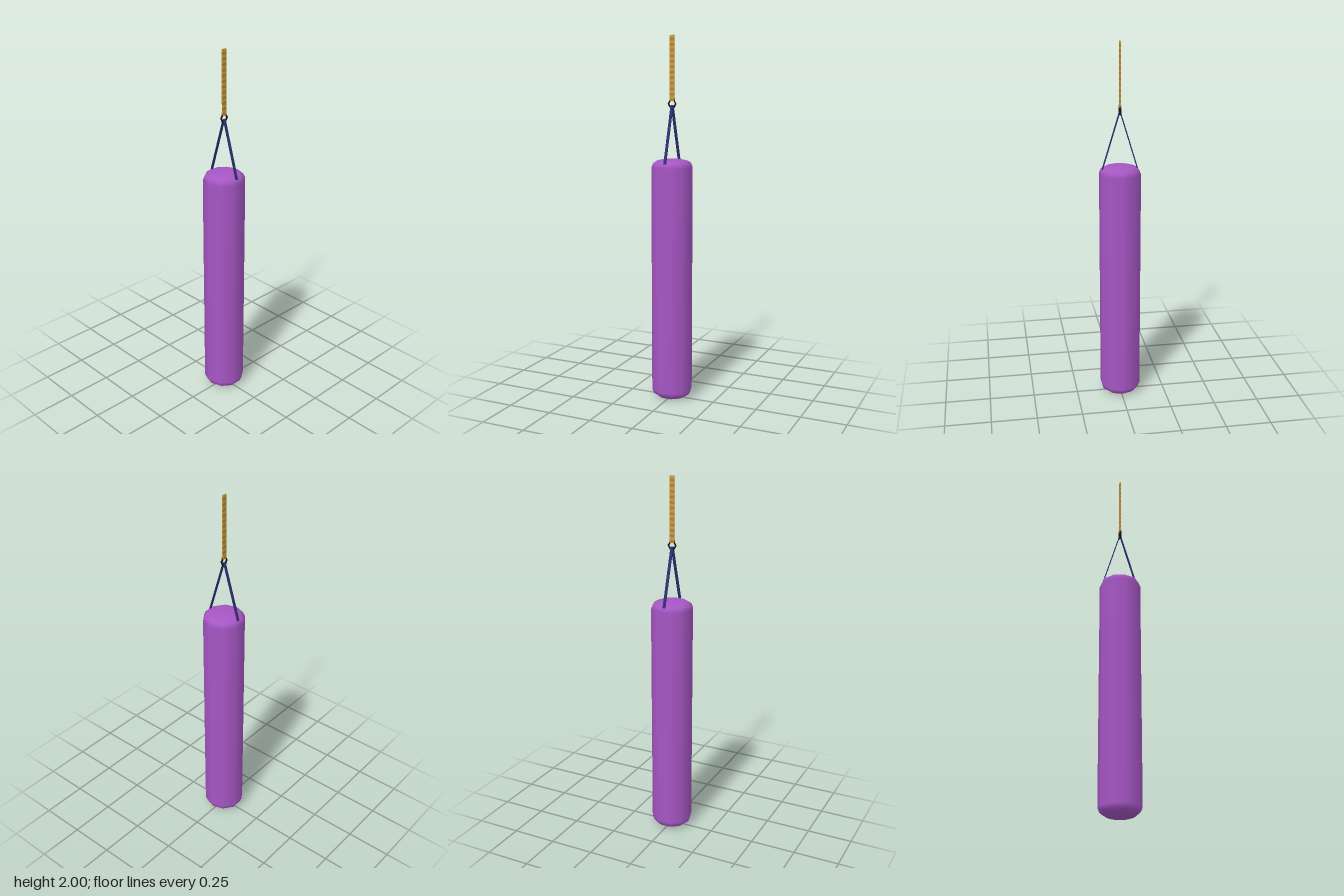
import * as THREE from 'three';

const material = (name, color) => {
  const m = new THREE.MeshStandardMaterial({ color });
  m.name = name;
  return m;
};

export function createModel() {
  const purple = material('purple leather', 0xa656c4);
  const navy = material('navy webbing', 0x2b3070);
  const black = material('black metal', 0x17171a);
  const ochre = material('ochre webbing', 0xc9a03c);
  const orange = material('orange webbing', 0xc07f30);

  const model = new THREE.Group();
  model.name = 'hangingBag';
  const add = (name, geometry, mat, parent = model) => {
    const mesh = new THREE.Mesh(geometry, mat);
    mesh.name = name;
    parent.add(mesh);
    return mesh;
  };

  // Ten-sided bag with rounded ends
  const profile = [
    [0, 0.004], [0.06, 0.005], [0.085, 0.01], [0.104, 0.025], [0.114, 0.05],
    [0.114, 1.3], [0.104, 1.324], [0.085, 1.335], [0.06, 1.341], [0, 1.342],
  ].map(([r, y]) => new THREE.Vector2(r, y));
  profile[0].y = profile[1].y = 0;
  add('bag', new THREE.LatheGeometry(profile, 10, Math.PI / 2), purple);

  // Two flat straps rising from the shoulders to the ring
  for (const side of [1, -1]) {
    const top = new THREE.Vector3(0, 1.632, 0.002 * side);
    const foot = new THREE.Vector3(0, 1.322, 0.096 * side);
    const run = top.clone().sub(foot);
    const strap = add(side > 0 ? 'frontStrap' : 'backStrap',
      new THREE.BoxGeometry(0.015, run.length(), 0.005), navy);
    strap.position.copy(top).add(foot).multiplyScalar(0.5);
    strap.rotation.x = Math.atan2(run.z, run.y);
  }

  // Hexagonal ring
  const ring = add('ring', new THREE.TorusGeometry(0.021, 0.005, 6, 6), black);
  ring.position.y = 1.64;

  // Flat hanging strap woven in alternating bands
  const hanger = new THREE.Group();
  hanger.name = 'hangingStrap';
  model.add(hanger);
  const bands = 24, bottom = 1.655, step = (2 - bottom) / bands;
  for (let i = 0; i < bands; i++) {
    const depth = i === 0 ? 0.011 : 0.006;
    const band = add('strapBand', new THREE.BoxGeometry(0.027, step, depth),
      i % 2 ? ochre : orange, hanger);
    band.position.y = bottom + (i + 0.5) * step;
  }

  return model;
}
